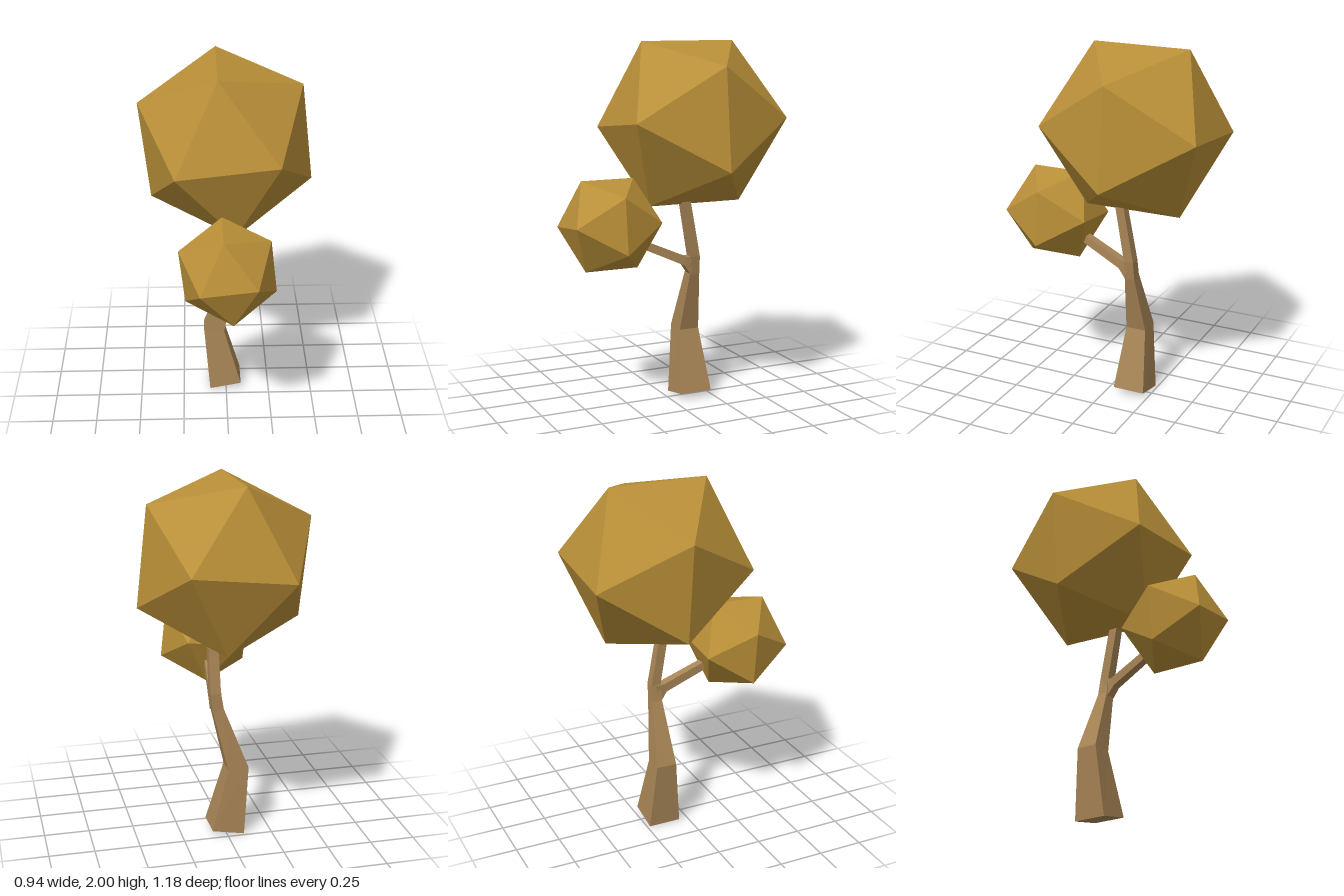
import * as THREE from 'three';

const V = (x, y, z) => new THREE.Vector3(x, y, z);
const bark = new THREE.MeshStandardMaterial({ color: 0xa88556, flatShading: true });
const leaf = new THREE.MeshStandardMaterial({ color: 0xb98f38, flatShading: true });

// Four corners around a centre, spanned by half-vectors u and v (v x u points along the limb)
function ring(c, u, v) {
  return [[-1, 1], [1, 1], [1, -1], [-1, -1]].map(([a, b]) =>
    c.clone().addScaledVector(u, a).addScaledVector(v, b));
}

// Closed four-sided limb through a list of rings
function limb(name, rings) {
  const pts = [];
  const quad = (a, b, c, d) => pts.push(a, b, c, a, c, d);
  for (let r = 0; r < rings.length - 1; r++) {
    for (let i = 0; i < 4; i++) {
      const j = (i + 1) % 4;
      quad(rings[r][i], rings[r][j], rings[r + 1][j], rings[r + 1][i]);
    }
  }
  quad(...[...rings[0]].reverse());
  quad(...rings[rings.length - 1]);
  const geo = new THREE.BufferGeometry().setFromPoints(pts);
  geo.computeVertexNormals();
  const mesh = new THREE.Mesh(geo, bark);
  mesh.name = name;
  return mesh;
}

// Faceted ball of leaves, leaning slightly about z
function foliage(name, radius, x, y, z) {
  const mesh = new THREE.Mesh(new THREE.IcosahedronGeometry(radius, 0), leaf);
  mesh.name = name;
  mesh.rotation.z = Math.PI / 2 + 0.11;
  mesh.position.set(x, y, z);
  return mesh;
}

export function createModel() {
  const tree = new THREE.Group();
  tree.name = 'tree';

  // Crooked trunk: centre, half width in x, rise across x, half depth in z
  const trunk = [
    [-0.004, 0.022, -0.142, 0.09, 0.017, 0.092],
    [-0.069, 0.388, -0.142, 0.058, -0.003, 0.058],
    [0.037, 0.728, -0.137, 0.03, -0.009, 0.029],
    [0.051, 0.825, -0.136, 0.029, -0.003, 0.027],
    [0.054, 1.25, -0.06, 0.026, 0, 0.024],
  ].map(([x, y, z, hx, rise, hz]) => ring(V(x, y, z), V(hx, rise, 0), V(0, 0, hz)));
  tree.add(limb('trunk', trunk));

  // Side branch, flared where it leaves the trunk: centre, half height, half width
  const branch = [
    [0.044, 0.772, -0.125, 0.05, 0.029],
    [0.046, 0.799, -0.08, 0.024, 0.026],
    [0.005, 0.968, 0.3, 0.02, 0.022],
  ].map(([x, y, z, hy, hx]) => ring(V(x, y, z), V(0, hy, -hy * 0.3), V(hx, 0, 0)));
  tree.add(limb('branch', branch));

  // Leaf crowns
  tree.add(foliage('mainCrown', 0.523, 0, 1.56, -0.145));
  tree.add(foliage('sideCrown', 0.288, -0.002, 1.025, 0.343));
  return tree;
}
